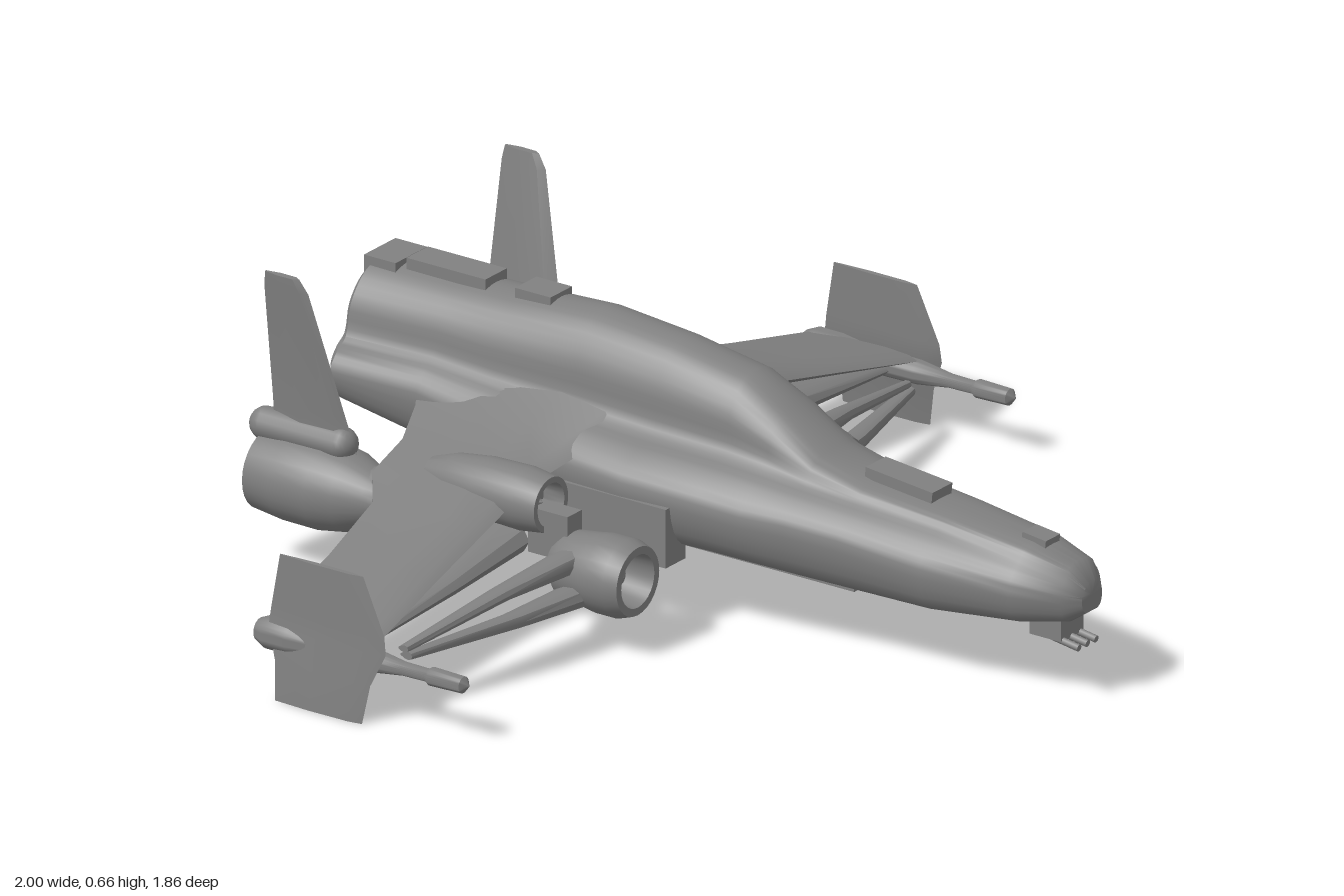
import * as THREE from 'three';
import { toCreasedNormals } from 'three/addons/utils/BufferGeometryUtils.js';

const hullGrey = new THREE.MeshStandardMaterial({ color: 0x808080 });
hullGrey.name = 'hullGrey';

// Skin a list of closed rings (arrays of Vector3) and cap both ends
function loft(rings, crease = 0.7) {
  const n = rings[0].length, pos = [], idx = [];
  rings.forEach(r => r.forEach(p => pos.push(p.x, p.y, p.z)));
  for (let i = 0; i < rings.length - 1; i++) {
    for (let j = 0; j < n; j++) {
      const k = (j + 1) % n, a = i * n + j, b = i * n + k;
      idx.push(a, a + n, b, b, a + n, b + n);
    }
  }
  [0, rings.length - 1].forEach(e => {
    const c = new THREE.Vector3();
    rings[e].forEach(p => c.addScaledVector(p, 1 / n));
    const ci = pos.length / 3;
    pos.push(c.x, c.y, c.z);
    for (let j = 0; j < n; j++) {
      const a = e * n + j, b = e * n + (j + 1) % n;
      if (e === 0) idx.push(ci, a, b); else idx.push(ci, b, a);
    }
  });
  const g = new THREE.BufferGeometry();
  g.setAttribute('position', new THREE.Float32BufferAttribute(pos, 3));
  g.setIndex(idx);
  return toCreasedNormals(g, crease);
}

// Mirror a geometry in x = 0, keeping faces outward
function mirrored(geo) {
  const g = geo.index ? geo.toNonIndexed() : geo.clone();
  for (const name of ['position', 'normal']) {
    const s = g.attributes[name].array;
    for (let i = 0; i < s.length; i += 3) s[i] = -s[i];
    for (let t = 0; t < s.length; t += 9) {
      for (let k = 0; k < 3; k++) [s[t + 3 + k], s[t + 6 + k]] = [s[t + 6 + k], s[t + 3 + k]];
    }
  }
  return g;
}

// Turned body along z; profile is [radius, z] from back to front
function turned(profile, x, y) {
  const pts = profile.map(p => new THREE.Vector2(p[0], p[1]));
  const g = new THREE.LatheGeometry(pts, 28);
  return toCreasedNormals(g.rotateX(Math.PI / 2), 0.7).translate(x, y, 0);
}

// Spanwise surface: stations [x, zFront, zBack, y, thickness]
function wingLoft(stations) {
  const outline = [[0, 0], [0.08, 0.35], [0.3, 0.5], [0.65, 0.4], [1, 0.08],
    [1, -0.08], [0.65, -0.4], [0.3, -0.5], [0.08, -0.35]];
  return loft(stations.map(([x, f, b, y, t]) =>
    outline.map(([u, v]) => new THREE.Vector3(x, y + v * t, f + (b - f) * u))));
}

// Upright surface: stations [y, x, zFront, zBack, thickness]
function finLoft(stations) {
  const outline = [[1, 0.12], [0.6, 0.5], [0.15, 0.45], [0, 0], [0.15, -0.45], [0.6, -0.5], [1, -0.12]];
  return loft(stations.map(([y, x, f, b, t]) =>
    outline.map(([u, v]) => new THREE.Vector3(x + v * t, y, f + (b - f) * u))), 0.5);
}

// Fuselage section: z, half width, bottom, shoulder, canopy width, canopy base, top
function hullRing([z, w, yb, ys, wc, yc, yt]) {
  const half = [[w * 0.55, yb], [w * 0.88, yb + (ys - yb) * 0.25], [w, ys],
    [(w * 0.55 + wc * 0.45), ys + (yc - ys) * 0.62], [wc, yc],
    [wc * 0.86, yc + (yt - yc) * 0.5], [wc * 0.5, yc + (yt - yc) * 0.88]];
  const pts = [[0, yb], ...half, [0, yt], ...half.slice().reverse().map(([x, y]) => [-x, y])];
  const curve = new THREE.CatmullRomCurve3(
    pts.map(([x, y]) => new THREE.Vector3(x, y, z)), true, 'centripetal');
  return Array.from({ length: 64 }, (_, i) => curve.getPoint(i / 64));
}

export function createModel() {
  const model = new THREE.Group();
  model.name = 'starfighter';
  const add = (name, geo) => {
    const m = new THREE.Mesh(geo, hullGrey);
    m.name = name;
    model.add(m);
  };
  const pair = (name, geo) => {
    add(name + 'Left', geo);
    add(name + 'Right', mirrored(geo));
  };
  const box = (w, h, d, x, y, z, rx = 0) =>
    new THREE.BoxGeometry(w, h, d).rotateX(rx).translate(x, y, z);

  // Fuselage with blended canopy and hollow tail
  const rings = [
    [0.93, 0.035, 0.2, 0.235, 0.025, 0.25, 0.265],
    [0.9, 0.07, 0.18, 0.24, 0.05, 0.28, 0.305],
    [0.8, 0.115, 0.165, 0.25, 0.07, 0.305, 0.33],
    [0.6, 0.15, 0.15, 0.26, 0.08, 0.33, 0.352],
    [0.4, 0.165, 0.15, 0.28, 0.09, 0.345, 0.372],
    [0.28, 0.185, 0.155, 0.29, 0.1, 0.36, 0.405],
    [0.18, 0.2, 0.16, 0.29, 0.105, 0.375, 0.48],
    [0.08, 0.215, 0.165, 0.3, 0.11, 0.385, 0.53],
    [-0.1, 0.23, 0.165, 0.31, 0.115, 0.39, 0.56],
    [-0.3, 0.225, 0.17, 0.32, 0.12, 0.4, 0.577],
    [-0.5, 0.19, 0.19, 0.34, 0.125, 0.41, 0.565],
    [-0.65, 0.185, 0.23, 0.36, 0.125, 0.42, 0.56],
    [-0.86, 0.195, 0.28, 0.36, 0.14, 0.42, 0.56],
  ].map(hullRing);
  const tail = rings[rings.length - 1];
  for (const [s, z] of [[0.88, -0.875], [0.76, -0.87], [0.68, -0.79]]) {
    rings.push(tail.map(p => new THREE.Vector3(p.x * s, 0.42 + (p.y - 0.42) * s, z)));
  }
  add('fuselage', loft(rings));

  // Raised panels along the spine and nose
  add('spineHousing', box(0.075, 0.04, 0.2, 0, 0.56, -0.68));
  add('spineTailBlock', box(0.11, 0.04, 0.08, 0, 0.55, -0.835));
  add('spineHatch', box(0.075, 0.03, 0.09, 0, 0.565, -0.46));
  add('nosePanel', box(0.07, 0.03, 0.17, 0, 0.373, 0.465, 0.1));
  add('noseSensor', box(0.05, 0.025, 0.06, 0, 0.328, 0.8, 0.12));

  // Chin gun and belly plates
  add('chinMount', box(0.08, 0.05, 0.08, 0, 0.155, 0.84));
  for (const x of [-0.03, 0, 0.03]) {
    add('chinBarrel', new THREE.CylinderGeometry(0.008, 0.008, 0.12, 8)
      .rotateX(Math.PI / 2 + 0.15).translate(x, 0.132, 0.86));
  }
  add('bellyPlate', box(0.2, 0.03, 0.6, 0, 0.16, 0.1));
  pair('cheekPod', box(0.07, 0.13, 0.3, 0.2, 0.215, -0.13));

  // Main wings
  pair('wing', wingLoft([
    [0.1, -0.17, -0.7, 0.37, 0.11], [0.2, -0.22, -0.64, 0.335, 0.07],
    [0.3, -0.25, -0.6, 0.305, 0.055], [0.42, -0.25, -0.59, 0.275, 0.05],
    [0.5, -0.25, -0.53, 0.25, 0.042], [0.7, -0.23, -0.495, 0.21, 0.035],
    [0.95, -0.2, -0.47, 0.16, 0.025],
  ]));
  pair('underWingBeam', wingLoft([
    [0.38, -0.22, -0.4, 0.2, 0.07], [0.6, -0.24, -0.36, 0.165, 0.045], [0.94, -0.26, -0.36, 0.13, 0.025],
  ]));

  // Upper engine pods under the wing roots
  pair('upperEngine', turned([[0, -0.5], [0.035, -0.48], [0.055, -0.42], [0.066, -0.34],
    [0.068, -0.24], [0.06, -0.18], [0.047, -0.18], [0.043, -0.23], [0.02, -0.23], [0, -0.2]], 0.36, 0.285));
  // Lower engine pods with pronged struts
  pair('lowerEngine', turned([[0, -0.165], [0.045, -0.16], [0.072, -0.13], [0.08, -0.07],
    [0.085, -0.04], [0.085, 0.01], [0.075, 0.04], [0.058, 0.04], [0.052, -0.03],
    [0.028, -0.03], [0.02, -0.005], [0, 0.005]], 0.36, 0.168));
  pair('engineLink', box(0.05, 0.1, 0.1, 0.36, 0.23, -0.17));
  pair('upperProng', wingLoft([
    [0.4, -0.06, -0.14, 0.2, 0.05], [0.6, -0.11, -0.16, 0.18, 0.03], [0.88, -0.165, -0.19, 0.14, 0.016]]));
  pair('lowerProng', wingLoft([
    [0.4, -0.035, -0.12, 0.13, 0.05], [0.6, -0.075, -0.13, 0.13, 0.035], [0.88, -0.155, -0.185, 0.127, 0.018]]));

  // Rear engines with open nozzles and vanes
  pair('rearEngine', turned([[0, -0.82], [0.068, -0.82], [0.074, -0.89], [0.086, -0.89],
    [0.094, -0.82], [0.095, -0.73], [0.085, -0.67], [0.06, -0.61], [0.045, -0.55], [0, -0.5]], 0.375, 0.2));
  pair('nozzleHub', new THREE.SphereGeometry(0.028, 14, 10).translate(0.375, 0.2, -0.835));
  for (let i = 0; i < 6; i++) {
    pair('nozzleVane', new THREE.BoxGeometry(0.012, 0.05, 0.04).translate(0, 0.045, 0)
      .rotateZ(i * Math.PI / 3).translate(0.375, 0.2, -0.84));
  }
  pair('engineNeck', new THREE.CylinderGeometry(0.04, 0.05, 0.22, 16)
    .rotateX(Math.PI / 2 - 0.3).translate(0.368, 0.24, -0.54));

  // Tail fins and their root fairings
  pair('tailFin', finLoft([
    [0.27, 0.37, -0.66, -0.87, 0.05], [0.36, 0.375, -0.69, -0.87, 0.035],
    [0.63, 0.415, -0.755, -0.865, 0.02], [0.66, 0.419, -0.775, -0.86, 0.016]]));
  pair('finFairing', new THREE.CapsuleGeometry(0.036, 0.19, 6, 14)
    .rotateX(Math.PI / 2).translate(0.375, 0.3, -0.795));

  // Wingtip plates and rods
  pair('tipPlate', finLoft([
    [0.005, 0.993, -0.2, -0.42, 0.012], [0.09, 0.985, -0.185, -0.425, 0.016],
    [0.16, 0.972, -0.155, -0.45, 0.02], [0.2, 0.97, -0.16, -0.445, 0.018],
    [0.32, 0.968, -0.215, -0.425, 0.012]]));
  pair('tipRod', turned([[0, -0.49], [0.025, -0.485], [0.036, -0.46], [0.036, -0.4], [0.028, -0.34],
    [0.026, -0.2], [0.015, -0.12], [0.014, -0.06], [0.02, -0.05], [0.018, 0.03], [0, 0.045]], 0.955, 0.135));

  return model;
}
